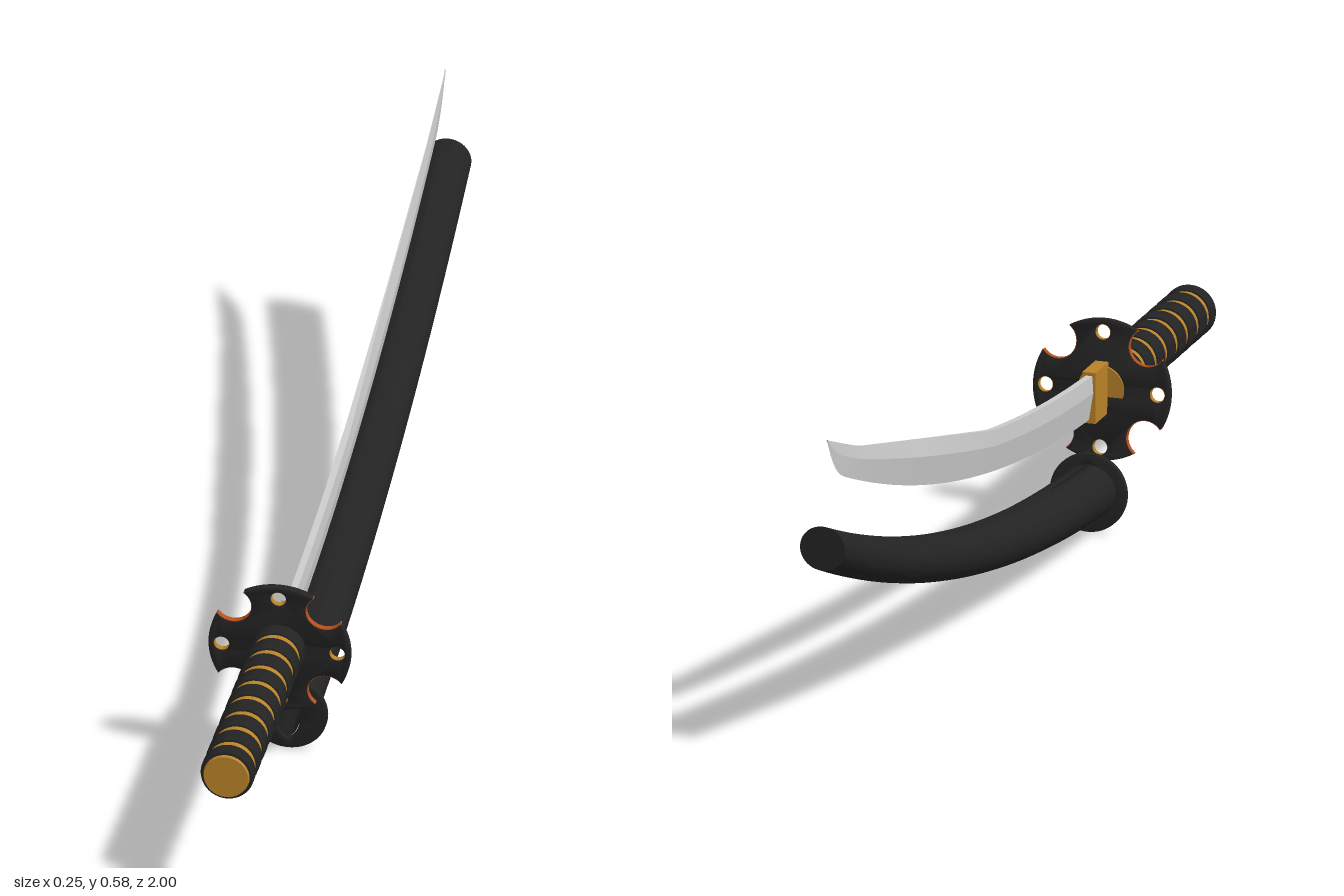
import * as THREE from 'three';
import { toCreasedNormals } from 'three/addons/utils/BufferGeometryUtils.js';

const mat = (color, side = THREE.FrontSide) => new THREE.MeshStandardMaterial({ color, side });
const black = mat(0x232323), blackInside = mat(0x1c1c1c, THREE.DoubleSide);
const gold = mat(0xb98228), rust = mat(0xb5501c), steel = mat(0xcccccc);
const { lerp, clamp } = THREE.MathUtils;

const Z0 = 0.44;        // mouth of the scabbard and root of the blade
const GRIP_Y = 0.24;    // axis of the handle

function add(parent, name, geometry, material) {
  const mesh = new THREE.Mesh(geometry, material);
  mesh.name = name;
  parent.add(mesh);
  return mesh;
}

// Skin rings of [x, y, z] points; rings run anticlockwise and advance towards -z
function loft(rings, crease, capFront, capBack) {
  const n = rings[0].length, last = (rings.length - 1) * n, index = [];
  for (let i = 0; i < rings.length - 1; i++) {
    for (let j = 0; j < n; j++) {
      const a = i * n + j, b = i * n + (j + 1) % n;
      index.push(a, a + n, b, b, a + n, b + n);
    }
  }
  for (let j = 1; j < n - 1; j++) {
    if (capFront) index.push(0, j, j + 1);
    if (capBack) index.push(last, last + j + 1, last + j);
  }
  const g = new THREE.BufferGeometry();
  g.setAttribute('position', new THREE.Float32BufferAttribute(rings.flat(2), 3));
  g.setIndex(index);
  return toCreasedNormals(g, crease);
}

// Plate lying in the xy plane, centred on z = 0
function plate(shape, depth, bevel = 0) {
  const g = new THREE.ExtrudeGeometry(shape, {
    depth: depth - 2 * bevel, bevelEnabled: bevel > 0, bevelThickness: bevel,
    bevelSize: bevel, bevelOffset: -bevel, bevelSegments: 2, curveSegments: 32,
  });
  g.translate(0, 0, -(depth - 2 * bevel) / 2);
  return toCreasedNormals(g, 0.6);
}

function createBlade() {
  const END = 1.415, rings = [];
  const spine = (s) => 0.283 + 0.05 * s + 0.1145 * s * s;
  for (let i = 0; i <= 56; i++) {
    const s = END * (1 - Math.pow(1 - i / 56, 1.3));
    // the back runs straight along the false edge
    const f = (s - 0.54) / 0.7;
    const top = f > 0 && f < 1 ? lerp(spine(0.54), spine(1.24), f) : spine(s);
    // the cutting edge sweeps up to the point
    const u = clamp((s - 1.31) / (END - 1.31), 0, 1);
    const bottom = lerp(0.203 + 0.05 * s + 0.126 * s * s, top - 0.001, u ** 3);
    const t = 0.008 * (1 - 0.85 * clamp((s - 0.9) / (END - 0.9), 0, 1) ** 1.5);
    const back = t * lerp(0.75, 0.15, clamp((s - 0.5) / 0.4, 0, 1));
    const ridge = lerp(bottom, top, 0.62), z = Z0 - s;
    rings.push([[0, bottom, z], [t, ridge, z], [back, top, z], [-back, top, z], [-t, ridge, z]]);
  }
  return loft(rings, 0.15, true, true);
}

// Curved tube of elliptical section along the scabbard
function scabbardTube(length, rx0, ry0, rx1, ry1, capBack) {
  const rings = [];
  for (let i = 0; i <= 36; i++) {
    const f = i / 36, s = f * length, ring = [];
    for (let j = 0; j < 40; j++) {
      const a = (j / 40) * Math.PI * 2;
      ring.push([
        lerp(rx0, rx1, f) * Math.cos(a),
        0.075 + 0.05 * s + 0.119 * s * s + lerp(ry0, ry1, f) * Math.sin(a),
        Z0 - s,
      ]);
    }
    rings.push(ring);
  }
  return loft(rings, 0.7, false, capBack);
}

function createScabbard() {
  const group = new THREE.Group();
  group.name = 'scabbard';
  add(group, 'scabbardBody', scabbardTube(1.44, 0.051, 0.048, 0.041, 0.04, true), black);
  add(group, 'scabbardInside', scabbardTube(1.38, 0.022, 0.05, 0.012, 0.03, true), blackInside);
  const rim = new THREE.Shape().absarc(0, 0, 0.07, 0, Math.PI * 2);
  rim.holes.push(new THREE.Path().absellipse(0, 0, 0.022, 0.051, 0, Math.PI * 2, true));
  const mouth = add(group, 'scabbardMouth', plate(rim, 0.012, 0.002), black);
  mouth.position.set(0, 0.0725, Z0);
  mouth.rotation.x = 0.05;
  return group;
}

function createGuard() {
  const group = new THREE.Group();
  group.name = 'guard';
  const R = 0.125, d = 0.115, r = 0.034, holeAt = 0.102, holeR = 0.0138;
  const delta = Math.acos((R * R + d * d - r * r) / (2 * R * d));
  const beta = Math.atan2(R * Math.sin(delta), R * Math.cos(delta) - d);

  // Disc with four round bites and a hole in each arm
  const outline = new THREE.Shape();
  for (let k = 0; k < 4; k++) {
    const arm = k * Math.PI / 2, bite = arm + Math.PI / 4;
    outline.absarc(0, 0, R, arm - Math.PI / 4 + delta, bite - delta, false);
    outline.absarc(d * Math.cos(bite), d * Math.sin(bite), r, bite - beta, bite + beta, true);
    outline.holes.push(new THREE.Path().absarc(
      holeAt * Math.cos(arm), holeAt * Math.sin(arm), holeR, 0, Math.PI * 2, true));
  }
  add(group, 'guardPlate', plate(outline, 0.014, 0.0015), black);

  // Coloured linings of the bites and holes
  const crescent = new THREE.Shape();
  crescent.absarc(d, 0, r + 0.001, -beta, beta, true);
  crescent.absarc(d, 0, r - 0.001, beta, -beta, false);
  const ring = new THREE.Shape().absarc(holeAt, 0, holeR + 0.0005, 0, Math.PI * 2);
  ring.holes.push(new THREE.Path().absarc(holeAt, 0, holeR - 0.0008, 0, Math.PI * 2, true));
  const biteGeometry = plate(crescent, 0.0105), ringGeometry = plate(ring, 0.0105);
  for (let k = 0; k < 4; k++) {
    add(group, 'biteLining', biteGeometry, rust).rotation.z = (k + 0.5) * Math.PI / 2;
    add(group, 'holeLining', ringGeometry, gold).rotation.z = k * Math.PI / 2;
  }
  group.position.set(0, 0.238, 0.513);
  group.rotation.x = 0.085;
  return group;
}

function createHandle() {
  const group = new THREE.Group();
  group.name = 'handle';
  // Solid of revolution about the handle axis, from [radius, z] points
  const turned = (points) => toCreasedNormals(new THREE.LatheGeometry(
    points.map(([x, y]) => new THREE.Vector2(x, y)), 40).rotateX(Math.PI / 2), 0.6);

  add(group, 'handleCore', turned([[0, 0.505], [0.042, 0.505], [0.042, 0.99], [0.039, 1], [0, 1]]), gold);
  // Wrapped bands
  for (let k = 0; k < 9; k++) {
    const a = k === 0 ? 0.515 : 0.5115 + 0.0565 * k, b = 0.5525 + 0.0565 * k - (k === 8 ? 0.01 : 0);
    add(group, 'wrapBand', turned([
      [0.04, a], [0.045, a + 0.001], [0.047, a + 0.007],
      [0.047, b - 0.007], [0.045, b - 0.001], [0.04, b],
    ]), black);
  }
  group.position.y = GRIP_Y;
  return group;
}

export function createModel() {
  const model = new THREE.Group();
  model.name = 'swordAndScabbard';
  const sword = new THREE.Group();
  sword.name = 'sword';
  add(sword, 'blade', createBlade(), steel);
  add(sword, 'bladeCollar', new THREE.BoxGeometry(0.024, 0.092, 0.07), gold)
    .position.set(0, 0.243, 0.475);
  sword.add(createGuard(), createHandle());
  model.add(sword, createScabbard());
  return model;
}
